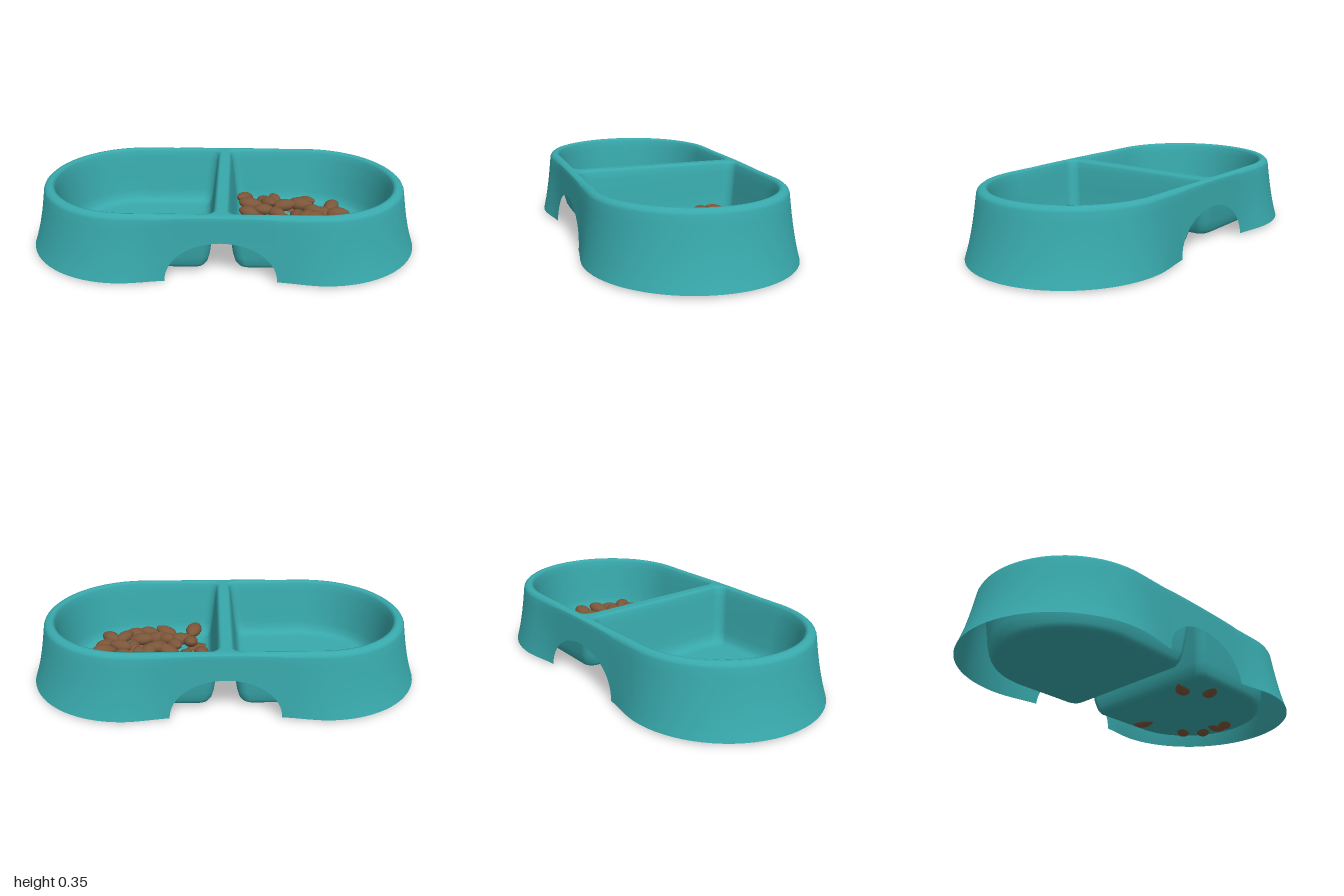
import * as THREE from 'three';

const teal = new THREE.MeshStandardMaterial({ color: 0x38a9ac, side: THREE.DoubleSide });
teal.name = 'teal plastic';
const brown = new THREE.MeshStandardMaterial({ color: 0x7c5639 });
brown.name = 'brown kibble';

const TOP = 0.35, BASE = 0.015, ARCH = 0.27;
const lerp = THREE.MathUtils.lerp, smooth = THREE.MathUtils.smoothstep;

// Smooth skin over a list of closed rings with equal point counts
function loft(name, rings) {
  const n = rings[0].length, index = [];
  for (let r = 0; r < rings.length - 1; r++) {
    for (let i = 0; i < n; i++) {
      const a = r * n + i, b = r * n + (i + 1) % n, c = a + n, d = b + n;
      index.push(a, c, b, b, c, d);
    }
  }
  const geo = new THREE.BufferGeometry().setFromPoints(rings.flat());
  geo.setIndex(index);
  geo.computeVertexNormals();
  const mesh = new THREE.Mesh(geo, teal);
  mesh.name = name;
  return mesh;
}

// Ring of the outer wall at height fraction h, lifted over the front and back arches
function wallRing(h, inset = 0) {
  const pts = [];
  const place = (x, z, archX, flareOut) => {
    const k = Math.min(1, Math.abs(archX) / ARCH);
    const low = BASE + 0.2 * Math.sqrt(1 - k * k);
    const y = lerp(low, TOP, h);
    const t = (y - BASE) / (TOP - BASE);           // true height, 0 to 1
    const flare = (1 - t) * 0.7 + 0.3 * (1 - t) ** 3;
    const cx = lerp(0.455, 0.492, flare);
    const R = lerp(0.468, 0.512, flare) - inset;
    pts.push(flareOut(cx, R, y, flare, x, z));
  };
  const round = (cx, R, y, f, c, s) =>
    new THREE.Vector3(Math.sign(c) * cx + R * c, y, R * s);
  const straight = (cx, R, y, f, x, side) => {
    const px = Math.abs(x) > ARCH
      ? Math.sign(x) * lerp(ARCH, cx, (Math.abs(x) - ARCH) / (0.5 - ARCH)) : x;
    const waist = 0.034 * f * (1 - smooth(Math.abs(px), 0.22, 0.5));
    return new THREE.Vector3(px, y, side * (R - waist));
  };
  for (const s of [1, -1]) {
    for (let i = 1; i < 36; i++) {                 // rounded end
      const a = -Math.PI / 2 + Math.PI * i / 36;
      place(s * Math.cos(a), s * Math.sin(a), 1, round);
    }
    for (let i = 0; i < 8; i++) place(s * lerp(0.5, ARCH, i / 8), s, 1, straight);
    for (let i = 0; i <= 32; i++) {                // arched middle
      const x = s * ARCH * Math.cos(Math.PI * i / 32);
      place(x, s, x, straight);
    }
    for (let i = 1; i <= 8; i++) place(-s * lerp(ARCH, 0.5, i / 8), s, 1, straight);
  }
  return pts;
}

// D-shaped basin ring: round outer end, small corners beside the divider
function basinRing(side, inset, y) {
  const pts = [], cx = 0.45, R = 0.422 - inset, x0 = 0.035 + inset, rc = 0.05;
  const arc = (x, z, r, from, to, n) => {
    for (let i = 0; i <= n; i++) {
      const a = lerp(from, to, i / n);
      pts.push(new THREE.Vector3(side * (x + r * Math.cos(a)), y, z + r * Math.sin(a)));
    }
  };
  const q = Math.PI / 2;
  arc(cx, 0, R, -q, q, 36);
  arc(x0 + rc, R - rc, rc, q, 2 * q, 6);
  arc(x0 + rc, rc - R, rc, 2 * q, 3 * q, 6);
  return side > 0 ? pts : pts.reverse();
}

const centreRing = (side, y) =>
  basinRing(side, 0, y).map(() => new THREE.Vector3(side * 0.43, y, 0));

// Almond-shaped kibble: ellipsoid with pinched ends
function kibbleGeometry() {
  const geo = new THREE.SphereGeometry(1, 14, 10);
  geo.rotateZ(Math.PI / 2);
  const p = geo.attributes.position;
  for (let i = 0; i < p.count; i++) {
    const x = p.getX(i), k = 1 - 0.22 * x * x + 0.12 * x;
    p.setXYZ(i, x * 0.07, p.getY(i) * k * 0.033, p.getZ(i) * k * 0.042);
  }
  geo.computeVertexNormals();
  return geo;
}

export function createModel() {
  const model = new THREE.Group();
  model.name = 'doublePetBowl';

  // Flared outer wall with a rounded top edge
  const wall = [0, 0.1, 0.2, 0.35, 0.5, 0.65, 0.8, 0.93].map(h => wallRing(h));
  wall.push(wallRing(0.965, 0.004), wallRing(0.99, 0.013), wallRing(1, 0.026));
  model.add(loft('outerWall', wall));

  // Flat rim and divider top with two basin openings
  const flat = ring => ring.map(p => new THREE.Vector2(p.x, -p.z));
  const rimShape = new THREE.Shape(flat(wallRing(1, 0.026)));
  for (const s of [1, -1]) rimShape.holes.push(new THREE.Path(flat(basinRing(s, -0.015, 0))));
  const rim = new THREE.Mesh(new THREE.ShapeGeometry(rimShape), teal);
  rim.name = 'rim';
  rim.rotation.x = -Math.PI / 2;
  rim.position.y = TOP;
  model.add(rim);

  // Basins, each with an inner face and an underside
  const inner = [[-0.015, TOP], [-0.006, 0.347], [0, 0.336], [0.008, 0.3], [0.02, 0.2],
    [0.032, 0.11], [0.042, 0.075], [0.056, 0.055], [0.08, 0.047], [0.11, 0.045]];
  const under = [[0.11, 0.024], [0.065, 0.025], [0.046, 0.035], [0.034, 0.055],
    [0.022, 0.1], [0.008, 0.2], [-0.005, 0.3], [-0.012, 0.345]];
  for (const s of [1, -1]) {
    const basin = new THREE.Group();
    basin.name = s > 0 ? 'leftBasin' : 'rightBasin';
    basin.add(loft('basinInside',
      [...inner.map(([d, y]) => basinRing(s, d, y)), centreRing(s, 0.045)]));
    basin.add(loft('basinUnderside',
      [centreRing(s, 0.024), ...under.map(([d, y]) => basinRing(s, d, y))]));
    model.add(basin);
  }

  // Kibble scattered over the floor of one basin
  let seed = 11;
  const rand = () => (seed = (seed * 16807) % 2147483647) / 2147483647;
  const food = new THREE.Group();
  food.name = 'food';
  const kibble = kibbleGeometry();
  let count = 0;
  for (let row = 0; row < 8; row++) {
    for (let col = 0; col < 8; col++) {
      const x = 0.14 + col * 0.083 + (row % 2) * 0.03 + (rand() - 0.5) * 0.05;
      const z = -0.3 + row * 0.086 + (rand() - 0.5) * 0.05;
      const turn = rand() * Math.PI, tilt = (rand() - 0.5) * 0.7, lift = rand();
      if (x > 0.43 && Math.hypot(x - 0.43, z) > 0.335) continue;
      const piece = new THREE.Mesh(kibble, brown);
      piece.name = 'kibble';
      const sunk = count++ % 8 === 3;              // a few press through the floor
      piece.position.set(x, sunk ? 0.036 : 0.07 + lift * 0.04, z);
      piece.rotation.set(0, turn, sunk ? 0 : tilt);
      piece.scale.setScalar(0.85 + 0.25 * (sunk ? 0.5 : rand()));
      food.add(piece);
    }
  }
  model.add(food);
  return model;
}
